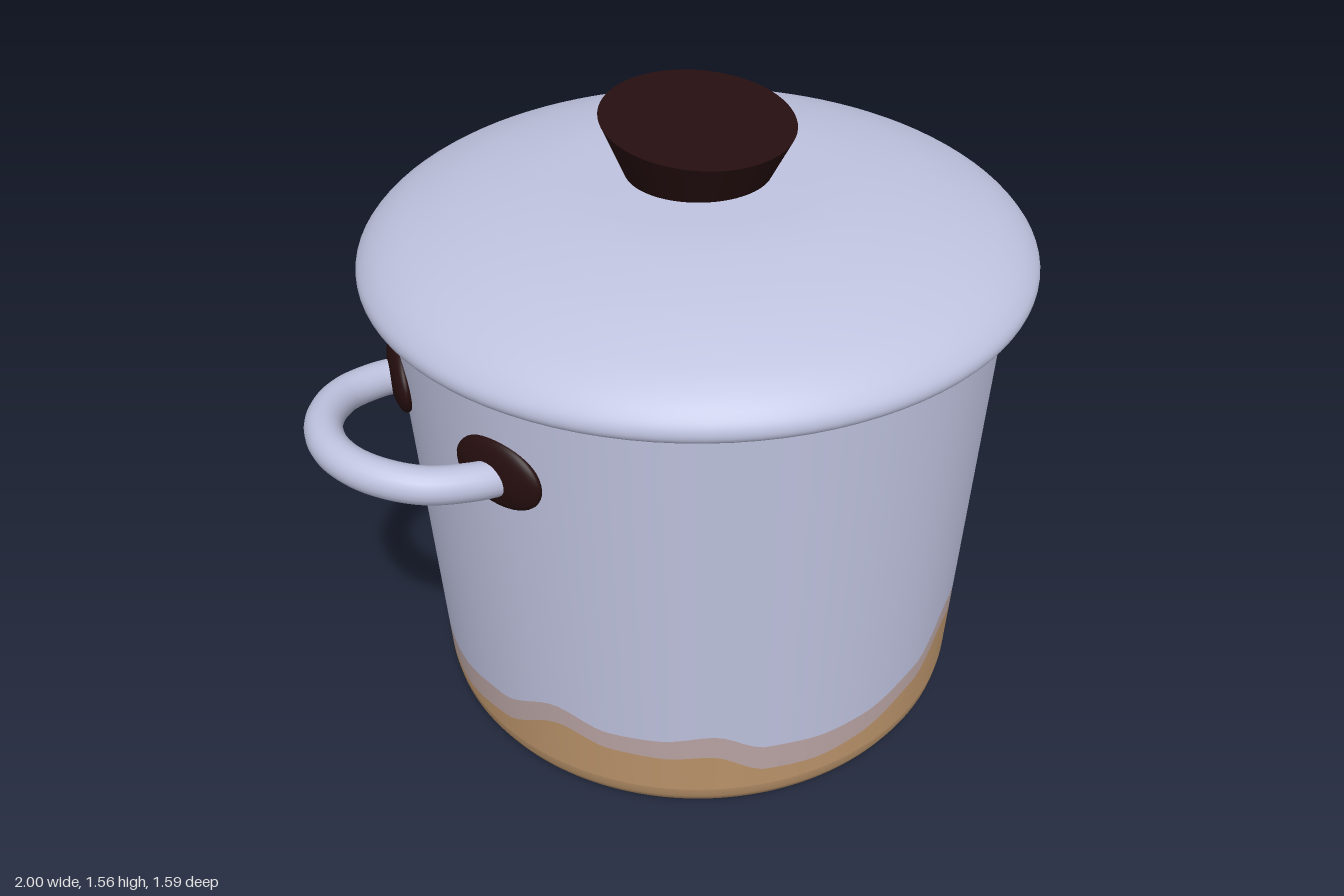
import * as THREE from 'three';

const mat = (name, color) => {
  const m = new THREE.MeshStandardMaterial({ color });
  m.name = name;
  return m;
};
const V2 = (x, y) => new THREE.Vector2(x, y);
const rad = THREE.MathUtils.degToRad;
const SEG = 180;

// Radius of the slightly flared wall at height y
const wallRadius = (y) => 0.683 + 0.052 * (y - 0.08) / 1.12;

// Upper edge of the stain: [degrees from the front towards +x, height]
const EDGE = [
  [0, 0.21], [17, 0.245], [30, 0.33], [41, 0.305], [53, 0.255], [64, 0.24], [73, 0.255],
  [82, 0.29], [92, 0.30], [104, 0.175], [120, 0.285], [134, 0.175], [147, 0.275], [160, 0.28],
  [172, 0.285], [187, 0.24], [196, 0.28], [208, 0.22], [220, 0.22], [232, 0.25], [246, 0.18],
  [262, 0.18], [280, 0.21], [296, 0.285], [307, 0.25], [317, 0.25], [328, 0.27], [339, 0.215],
  [352, 0.205], [360, 0.21],
];
function stainTop(angle) {
  const d = ((THREE.MathUtils.radToDeg(angle) % 360) + 360) % 360;
  const i = Math.max(1, EDGE.findIndex((e) => e[0] >= d));
  const [a, ya] = EDGE[i - 1], [b, yb] = EDGE[i];
  return THREE.MathUtils.lerp(ya, yb, THREE.MathUtils.smoothstep(d, a, b));
}
const stainMid = (angle) => stainTop(angle) - 0.068 + 0.012 * Math.sin(angle * 5);

// Strip of the wall between two height functions of the angle
function wallBand(low, high, start = 0, length = Math.PI * 2, segments = SEG, offset = 0) {
  const pts = [V2(wallRadius(0), 0), V2(wallRadius(1), 1)];
  const geo = new THREE.LatheGeometry(pts, segments, start, length);
  const p = geo.attributes.position;
  for (let i = 0; i < p.count; i++) {
    const a = start + (Math.floor(i / 2) / segments) * length;
    const y = i % 2 ? high(a) : low(a);
    const r = wallRadius(y) + offset;
    p.setXYZ(i, r * Math.sin(a), y, r * Math.cos(a));
  }
  return geo;
}

export function createModel() {
  const model = new THREE.Group();
  model.name = 'cookingPot';
  const enamel = mat('paleEnamel', 0xbfc3df);
  const brown = mat('brownStain', 0xbb946b);
  const fade = mat('fadedStain', 0xbba5a5);
  const dark = mat('darkBrown', 0x260e0f);
  const add = (name, geo, material, parent = model) => {
    const mesh = new THREE.Mesh(geo, material);
    mesh.name = name;
    parent.add(mesh);
    return mesh;
  };

  // Rounded base and wall, split along the wavy stain edges
  const base = [V2(0, 0), V2(0.58, 0), V2(0.61, 0.001), V2(0.64, 0.008), V2(0.664, 0.026),
    V2(0.678, 0.052), V2(0.683, 0.08)];
  add('potBase', new THREE.LatheGeometry(base, SEG), brown);
  add('lowerStain', wallBand(() => 0.08, stainMid), brown);
  add('upperStain', wallBand(stainMid, stainTop), fade);
  add('potWall', wallBand(stainTop, () => 1.2), enamel);

  // Small drips below the lid: [degrees, half width in degrees, depth]
  for (const [d, w, depth] of [[14, 6.5, 0.033], [-8, 2, 0.025], [-68, 2, 0.015], [122, 3, 0.014], [3 + 180, 5, 0.02]]) {
    const low = (a) => 1.191 - depth * Math.sqrt(Math.max(0, 1 - ((a - rad(d)) / rad(w)) ** 2));
    add('rimDrip', wallBand(low, () => 1.192, rad(d - w), rad(2 * w), 16, 0.003), fade);
  }

  // Domed lid with a rolled rim
  const dome = new THREE.SplineCurve([V2(0.755, 1.192), V2(0.785, 1.195), V2(0.797, 1.215),
    V2(0.788, 1.243), V2(0.75, 1.28), V2(0.68, 1.318), V2(0.55, 1.362), V2(0.37, 1.395),
    V2(0.2, 1.403), V2(0, 1.405)]).getPoints(50);
  add('lid', new THREE.LatheGeometry([V2(0, 1.192), V2(0.74, 1.192), ...dome], 96), enamel);

  // Faded spot on the lid beside the knob
  const spot = new THREE.CircleGeometry(0.035, 20).rotateX(-Math.PI / 2);
  add('lidSpot', spot, fade).position.set(0.12, 1.408, -0.2);

  // Flared knob with a top that rises towards the back
  const knob = new THREE.CylinderGeometry(0.226, 0.16, 0.15, 64).translate(0, 1.453, 0);
  const kp = knob.attributes.position;
  for (let i = 0; i < kp.count; i++) {
    if (kp.getY(i) > 1.45) kp.setY(i, kp.getY(i) - 0.122 * kp.getZ(i));
  }
  knob.computeVertexNormals();
  add('lidKnob', knob, dark);

  // Looped side handles with oval mounting plates
  const half = [[0.66, 0.962, 0.243], [0.75, 0.976, 0.236], [0.85, 0.99, 0.2], [0.93, 1.002, 0.11]];
  const path = new THREE.CatmullRomCurve3([
    ...half.map(([x, y, z]) => new THREE.Vector3(x, y, z)),
    new THREE.Vector3(0.957, 1.005, 0),
    ...half.map(([x, y, z]) => new THREE.Vector3(x, y, -z)).reverse(),
  ]);
  for (const side of [1, -1]) {
    const handle = new THREE.Group();
    handle.name = side > 0 ? 'leftHandle' : 'rightHandle';
    handle.rotation.y = side > 0 ? 0 : Math.PI;
    model.add(handle);
    add('handleLoop', new THREE.TubeGeometry(path, 64, 0.042, 20), enamel, handle);
    for (const end of [1, -1]) {
      const plate = add('handlePlate', new THREE.SphereGeometry(1, 32, 20), dark, handle);
      plate.scale.set(0.03, 0.086, 0.119);
      plate.position.set(0.686, 0.975, 0.238 * end);
      plate.rotation.y = -0.334 * end;
    }
  }
  return model;
}
